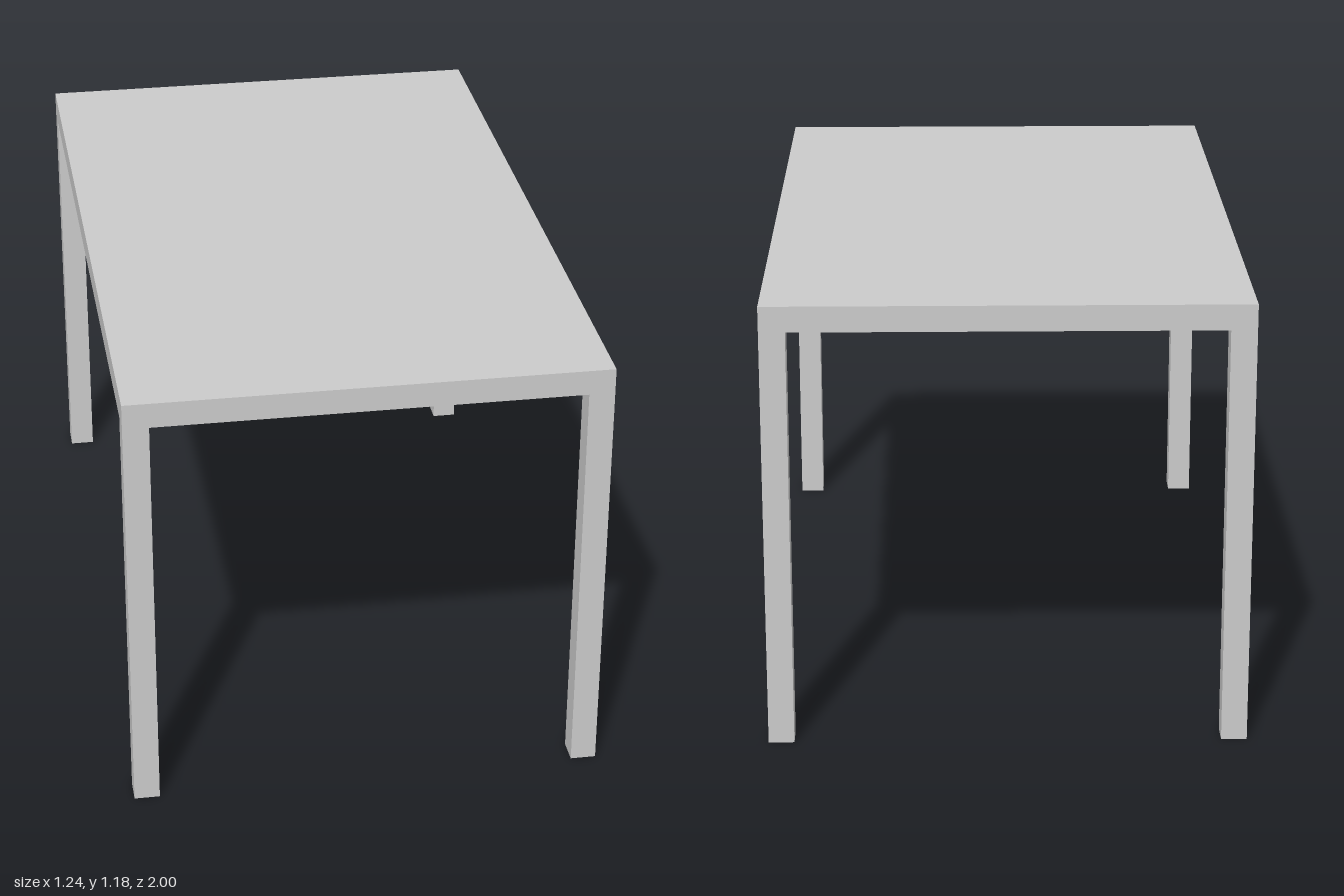
import * as THREE from 'three';

const WIDTH = 1.244, DEPTH = 2, HEIGHT = 1.178;
const THICK = 0.067; // tabletop thickness and leg side

export function createModel() {
  const table = new THREE.Group();
  table.name = 'table';
  const material = new THREE.MeshStandardMaterial({ color: 0xcccccc });

  // Solid slab top
  const top = new THREE.Mesh(new THREE.BoxGeometry(WIDTH, THICK, DEPTH), material);
  top.name = 'tabletop';
  top.position.y = HEIGHT - THICK / 2;
  table.add(top);

  // Four square legs, flush with the corners of the top
  const legHeight = HEIGHT - THICK;
  const legGeometry = new THREE.BoxGeometry(THICK, legHeight, THICK);
  for (const [xName, sx] of [['Left', 1], ['Right', -1]]) {
    for (const [zName, sz] of [['front', 1], ['back', -1]]) {
      const leg = new THREE.Mesh(legGeometry, material);
      leg.name = `${zName}${xName}Leg`;
      leg.position.set(sx * (WIDTH - THICK) / 2, legHeight / 2, sz * (DEPTH - THICK) / 2);
      table.add(leg);
    }
  }
  return table;
}
